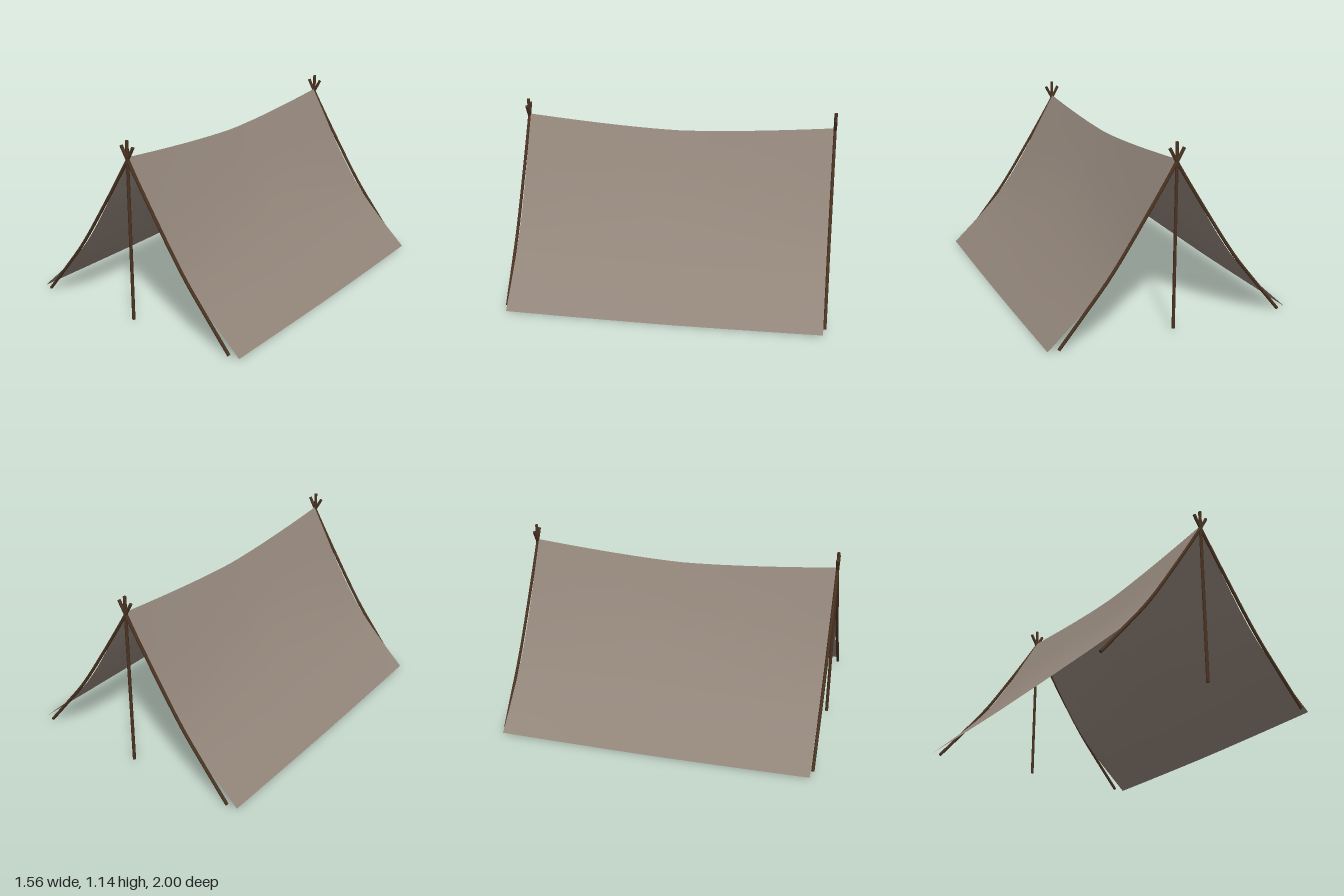
import * as THREE from 'three';

const canvas = new THREE.MeshStandardMaterial({ color: 0x92857a, side: THREE.DoubleSide });
canvas.name = 'canvas';
const wood = new THREE.MeshStandardMaterial({ color: 0x4a3322 });
wood.name = 'wood';

const curve = (points) => new THREE.CatmullRomCurve3(points.map(([x, y]) => new THREE.Vector3(x, y, 0)));

// Cloth cross-sections from ridge to hem: at the poles and at the sagging middle
const endSection = curve([[0, 1.04], [0.1, 0.865], [0.2, 0.69], [0.3, 0.53], [0.4, 0.39], [0.55, 0.225], [0.78, 0.01]]);
const midSection = curve([[0, 0.975], [0.1, 0.8], [0.2, 0.64], [0.3, 0.505], [0.4, 0.385], [0.55, 0.22], [0.78, 0]]);

// One slope of the cloth, blended between the two sections along z
function clothSide(side) {
  const geo = new THREE.PlaneGeometry(2, 1, 24, 16);
  const pos = geo.attributes.position;
  for (let i = 0; i < pos.count; i++) {
    const along = pos.getX(i) * side;
    const down = 0.5 - pos.getY(i);
    const a = midSection.getPoint(down);
    const p = a.lerp(endSection.getPoint(down), Math.abs(along) ** 1.5);
    pos.setXYZ(i, p.x * side, p.y, -along * 0.98);
  }
  geo.computeVertexNormals();
  const mesh = new THREE.Mesh(geo, canvas);
  mesh.name = side > 0 ? 'leftCloth' : 'rightCloth';
  return mesh;
}

// Round pole along a path, closed at both ends
function pole(name, path) {
  const radius = 0.01;
  const group = new THREE.Group();
  group.name = name;
  group.add(new THREE.Mesh(new THREE.TubeGeometry(path, 20, radius, 8), wood));
  for (const t of [0, 1]) {
    const cap = new THREE.Mesh(new THREE.CircleGeometry(radius, 8), wood);
    const outward = path.getTangent(t).multiplyScalar(t ? 1 : -1);
    cap.quaternion.setFromUnitVectors(new THREE.Vector3(0, 0, 1), outward);
    cap.position.copy(path.getPoint(t));
    group.add(cap);
  }
  return group;
}

export function createModel() {
  const model = new THREE.Group();
  model.name = 'tent';
  model.add(clothSide(1), clothSide(-1));

  // Upright and two bent, crossing side poles at each end
  for (const z of [0.99, -0.99]) {
    const frame = new THREE.Group();
    frame.name = z > 0 ? 'frontFrame' : 'backFrame';
    frame.position.z = z;
    frame.add(pole('upright', curve([[0, 0.015], [0, 0.5], [0, 1.14]])));
    for (const s of [1, -1]) {
      frame.add(pole(s > 0 ? 'leftPole' : 'rightPole',
        curve([[0.717 * s, 0.015], [0.56 * s, 0.205], [0.4 * s, 0.405], [0.2 * s, 0.705], [0, 1.025], [-0.045 * s, 1.105]])));
    }
    model.add(frame);
  }
  return model;
}
